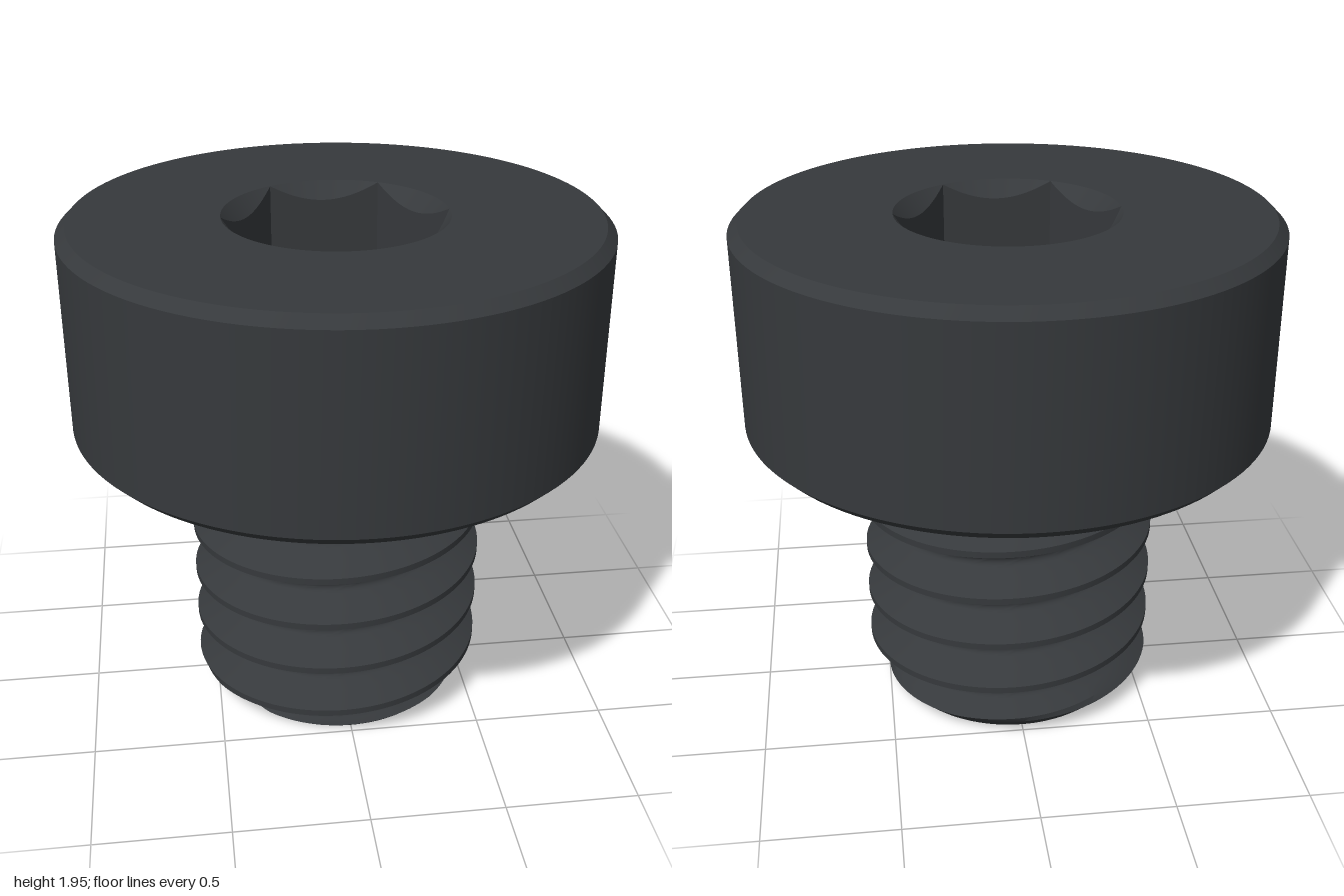
import * as THREE from 'three';
import { toCreasedNormals } from 'three/addons/utils/BufferGeometryUtils.js';

const SEG = 120;
const PITCH = 0.2, MAJOR = 0.57, DEPTH = 0.125, NECK_Y = 1.1;
const material = new THREE.MeshStandardMaterial({ color: 0x36393c });
const clamp = THREE.MathUtils.clamp;

// Surface swept around y: point(angle, row) returns [radius, height]
function sweep(name, rows, point, crease = 0.55) {
  const pos = [], index = [];
  for (let j = 0; j < rows; j++) {
    for (let i = 0; i <= SEG; i++) {
      const a = (i / SEG) * Math.PI * 2;
      const [r, y] = point(a, j);
      pos.push(r * Math.cos(a), y, -r * Math.sin(a));
    }
  }
  const at = (k) => new THREE.Vector3().fromArray(pos, k * 3);
  const tri = (a, b, c) => {
    const area = at(b).sub(at(a)).cross(at(c).sub(at(a))).length();
    if (area > 1e-9) index.push(a, b, c);
  };
  for (let j = 0; j < rows - 1; j++) {
    for (let i = 0; i < SEG; i++) {
      const a = j * (SEG + 1) + i, b = a + 1, d = a + SEG + 1, c = d + 1;
      tri(a, b, c);
      tri(a, c, d);
    }
  }
  const geo = new THREE.BufferGeometry();
  geo.setAttribute('position', new THREE.Float32BufferAttribute(pos, 3));
  geo.setIndex(index);
  const mesh = new THREE.Mesh(toCreasedNormals(geo, crease), material);
  mesh.name = name;
  return mesh;
}

// Thread radius: 60 degree flanks, flat crest, rounded root, runout and tip chamfer
function threadRadius(a, y) {
  const t = y / PITCH - a / (Math.PI * 2);
  const p = Math.abs(t - Math.round(t)) * PITCH; // distance from the crest
  const R = 0.0266, q = PITCH / 2 - p;
  let cut = Math.max(0, (p - 0.0125) * Math.sqrt(3));
  if (q < R * 0.866) cut = DEPTH - R + Math.sqrt(R * R - q * q);
  const fade = clamp((1.08 - y) / 0.18, 0, 1);
  return Math.min(MAJOR - cut * fade, 0.465 + y);
}

export function createModel() {
  const group = new THREE.Group();
  group.name = 'socketCapScrew';

  // Threaded shank: rows follow the helix so crests stay crisp
  const offsets = [-0.0125, 0.0125, 0.034, 0.056, 0.077, 0.084, 0.092,
    0.1, 0.108, 0.116, 0.123, 0.144, 0.166];
  const n = offsets.length;
  group.add(sweep('threadedShank', n * 8, (a, j) => {
    const turn = Math.floor(j / n) - 1 + a / (Math.PI * 2);
    const y = clamp(turn * PITCH + offsets[j % n], 0, NECK_Y);
    return [threadRadius(a, y), y];
  }));

  // Flat end of the shank
  group.add(sweep('shankTip', 2, (a, j) => [j ? threadRadius(a, 0) : 0, 0]));

  // Head with under-head fillet and chamfered rims
  const profile = [];
  for (let k = 0; k <= 8; k++) {
    const t = (k / 8) * Math.PI / 2;
    profile.push([0.62 - 0.05 * Math.cos(t), NECK_Y + 0.05 * Math.sin(t)]);
  }
  profile.push([0.962, 1.15], [1, 1.188], [1, 1.912], [0.962, 1.95], [0.415, 1.95]);
  group.add(sweep('head', profile.length, (a, j) => profile[j]));

  // Hexagonal socket with a conical lead-in
  const top = 1.95, floor = 1.29, apothem = 0.359;
  group.add(sweep('hexSocket', 4, (a, j) => {
    const side = a % (Math.PI / 3) - Math.PI / 6;
    const hex = apothem / Math.cos(side);
    return [
      [0.415, top],
      [hex, top - 1.1 * (0.415 - hex)],
      [hex, floor],
      [0, floor],
    ][j];
  }));

  return group;
}
